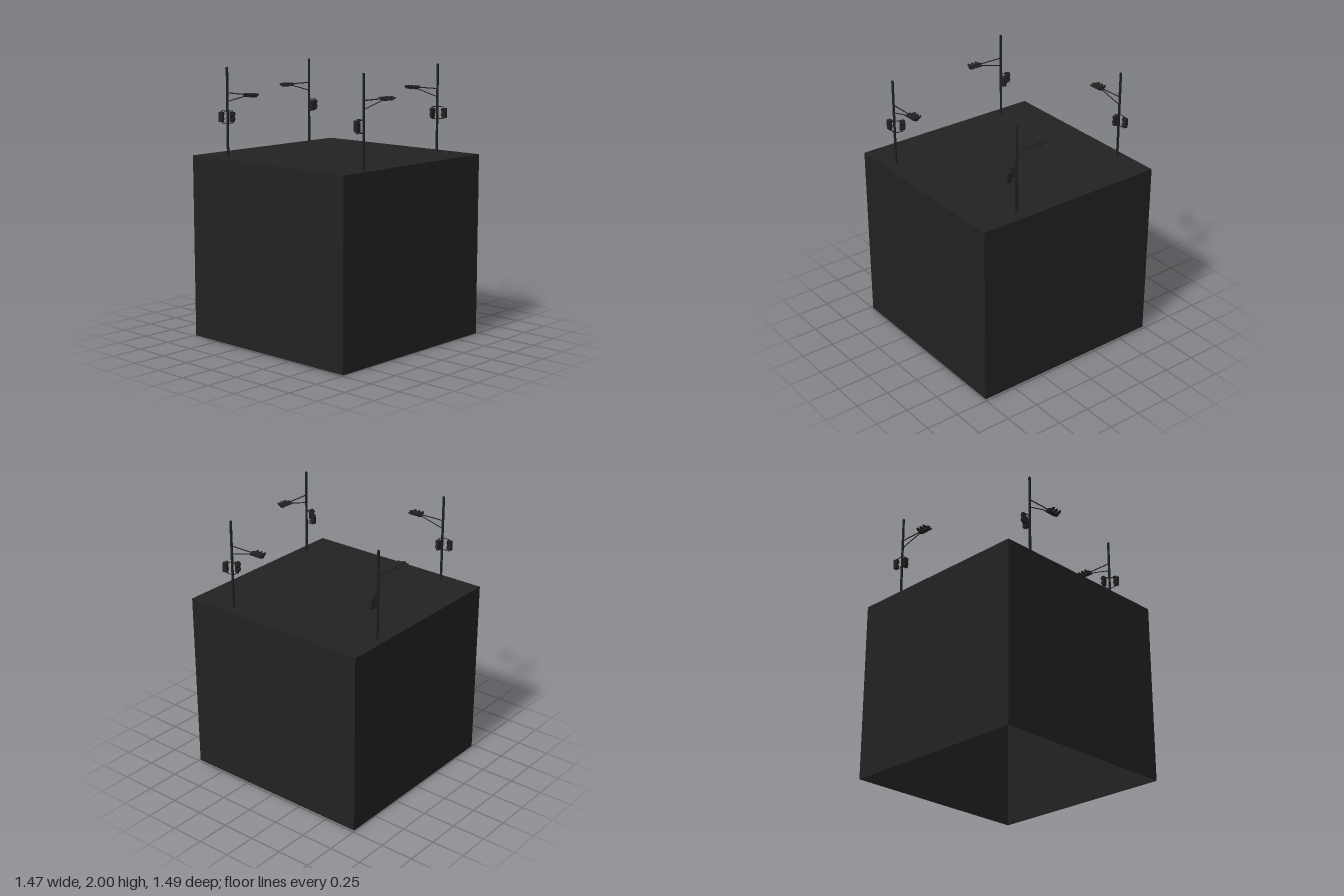
import * as THREE from 'three';

const dark = new THREE.MeshStandardMaterial({ color: 0x222222, side: THREE.DoubleSide });
dark.name = 'charcoal';
const steel = new THREE.MeshStandardMaterial({ color: 0x1d2125 });
steel.name = 'dark steel';

function add(parent, name, geometry, material, x = 0, y = 0, z = 0) {
  const mesh = new THREE.Mesh(geometry, material);
  mesh.name = name;
  mesh.position.set(x, y, z);
  parent.add(mesh);
  return mesh;
}

// Straight round bar between two points
function bar(parent, name, from, to, radius, material = dark) {
  const a = new THREE.Vector3(...from), b = new THREE.Vector3(...to);
  const dir = b.clone().sub(a);
  const mesh = add(parent, name, new THREE.CylinderGeometry(radius, radius, dir.length(), 8), material);
  mesh.position.copy(a).add(b).multiplyScalar(0.5);
  mesh.quaternion.setFromUnitVectors(new THREE.Vector3(0, 1, 0), dir.normalize());
  return mesh;
}

// Open tube along +z whose outer rim is cut back towards the bottom
function hoodGeometry(radius, length, shortLength) {
  const g = new THREE.CylinderGeometry(radius, radius, 1, 14, 1, true);
  g.rotateX(Math.PI / 2).translate(0, 0, 0.5);
  const p = g.attributes.position;
  for (let i = 0; i < p.count; i++) {
    const t = (p.getY(i) / radius + 1) / 2;
    p.setZ(i, p.getZ(i) * (shortLength + (length - shortLength) * t));
  }
  g.computeVertexNormals();
  return g;
}

// Horizontal three-lamp head, hooded on both sides
function overheadSignal() {
  const head = new THREE.Group();
  head.name = 'overheadSignal';
  add(head, 'signalBody', new THREE.BoxGeometry(0.1, 0.026, 0.024), dark);
  const hood = hoodGeometry(0.0125, 0.035, 0.006);
  for (const side of [0, Math.PI]) {
    for (const x of [-0.033, 0, 0.033]) {
      add(head, 'lampHood', hood, dark, x, 0, side ? -0.012 : 0.012).rotation.y = side;
    }
  }
  return head;
}

// Upright two-lamp box, hoods facing +z
function crossingSignal() {
  const signal = new THREE.Group();
  signal.name = 'crossingSignal';
  add(signal, 'crossingBody', new THREE.BoxGeometry(0.036, 0.072, 0.02), dark, 0, 0, -0.007);
  const hood = hoodGeometry(0.015, 0.014, 0.003);
  for (const y of [-0.018, 0.018]) add(signal, 'crossingHood', hood, dark, 0, y, 0.003);
  return signal;
}

// Bracketed crossing signal beside the pole
function sideSignal(parent, x, z, turn) {
  const signal = crossingSignal();
  signal.position.set(x, 1.64, z);
  signal.rotation.y = turn;
  parent.add(signal);
  for (const y of [1.685, 1.597]) {
    bar(parent, 'signalBracket', [0, y, 0], [x, y, z], 0.003);
    bar(parent, 'bracketEnd', [x, y, z], [x, 1.64, z], 0.003);
  }
}

// Pole with an arm along its own +x
function trafficPole(sideOffset) {
  const g = new THREE.Group();
  g.name = 'trafficPole';
  bar(g, 'pole', [0, 0.97, 0], [0, 2, 0], 0.009, steel);
  bar(g, 'arm', [0, 1.816, 0], [0.285, 1.816, 0], 0.004);
  bar(g, 'armBrace', [0, 1.755, 0], [0.21, 1.81, 0], 0.0035);
  const head = overheadSignal();
  head.position.set(0.24, 1.813, 0);
  g.add(head);
  sideSignal(g, -0.064, -0.004, Math.PI);
  sideSignal(g, 0.008, -sideOffset, Math.PI / 2);
  return g;
}

export function createModel() {
  const model = new THREE.Group();
  model.name = 'intersectionBlock';

  // Hollow block, open underneath
  const block = new THREE.BoxGeometry(1.465, 1.35, 1.485);
  const faces = Array.from(block.index.array);
  faces.splice(18, 6);
  block.clearGroups();
  block.setIndex(faces);
  add(model, 'block', block, dark, 0, 0.675, 0);

  // One pole per side, each turned a quarter further
  const poles = [
    [-0.44, 0.658, 0.066],
    [0.65, 0.413, 0.052],
    [0.425, -0.688, 0.03],
    [-0.655, -0.45, 0.043],
  ];
  poles.forEach(([x, z, offset], i) => {
    const pole = trafficPole(offset);
    pole.position.set(x, 0, z);
    pole.rotation.y = i * Math.PI / 2;
    model.add(pole);
  });
  return model;
}
